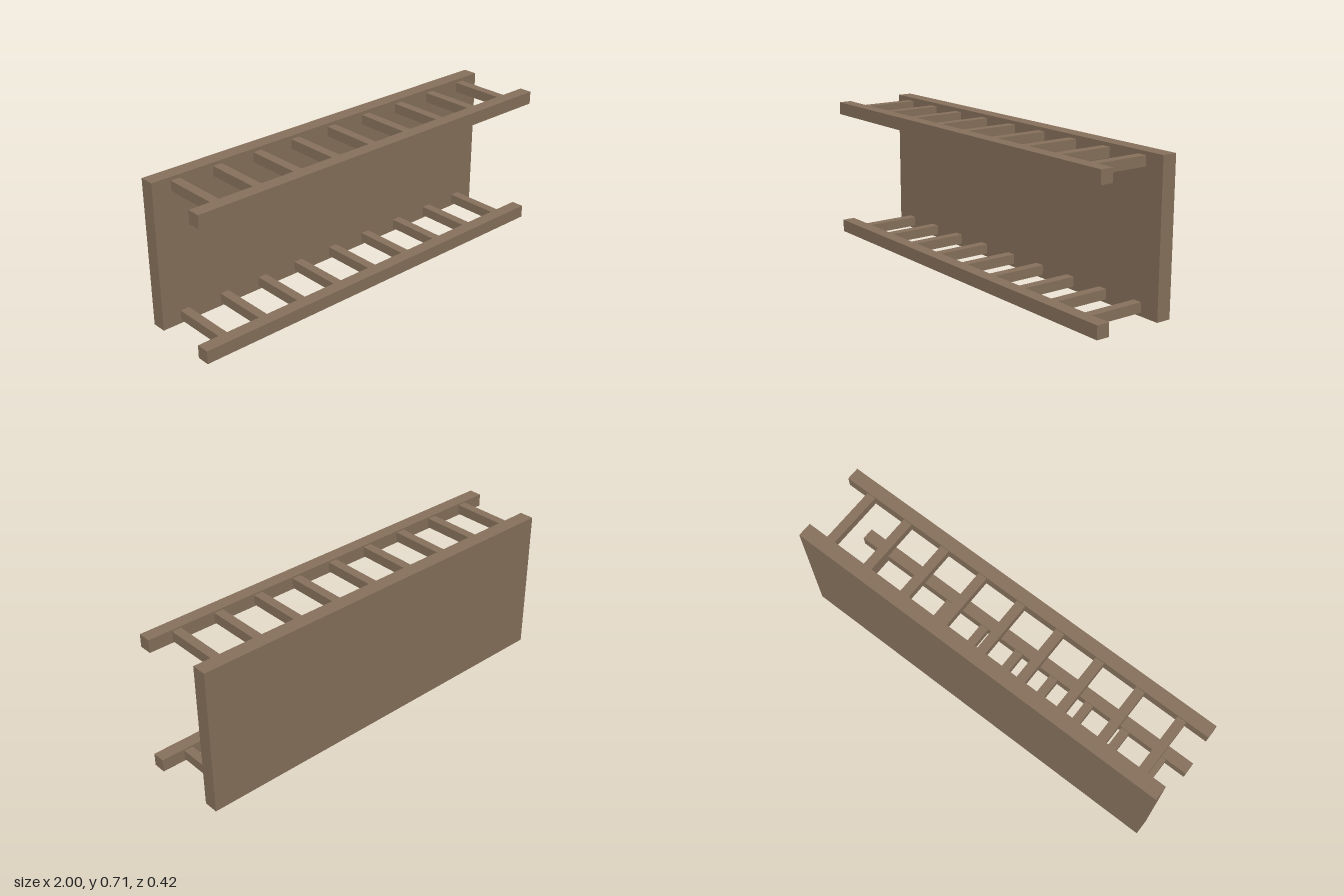
import * as THREE from 'three';

export function createModel() {
  const model = new THREE.Group();
  const wood = new THREE.MeshStandardMaterial({ color: 0x87725c });
  wood.name = 'brownWood';

  // Box given by its centre and size
  function box(name, parent, [x, y, z], [w, h, d]) {
    const mesh = new THREE.Mesh(new THREE.BoxGeometry(w, h, d), wood);
    mesh.name = name;
    mesh.position.set(x, y, z);
    parent.add(mesh);
  }

  // Upright back panel
  box('backPanel', model, [0, 0.3535, -0.1745], [1.964, 0.707, 0.071]);

  // Lower and upper ladder racks: a front rail joined to the panel by nine rungs
  for (const [name, y] of [['lowerRack', 0.04], ['upperRack', 0.667]]) {
    const rack = new THREE.Group();
    rack.name = name;
    rack.position.y = y;
    box('frontRail', rack, [0, 0, 0.1785], [2, 0.062, 0.063]);
    for (let i = -4; i <= 4; i++) {
      box('rung', rack, [i * 0.216 - 0.002, 0, 0.004], [0.045, 0.047, 0.286]);
    }
    model.add(rack);
  }
  return model;
}
